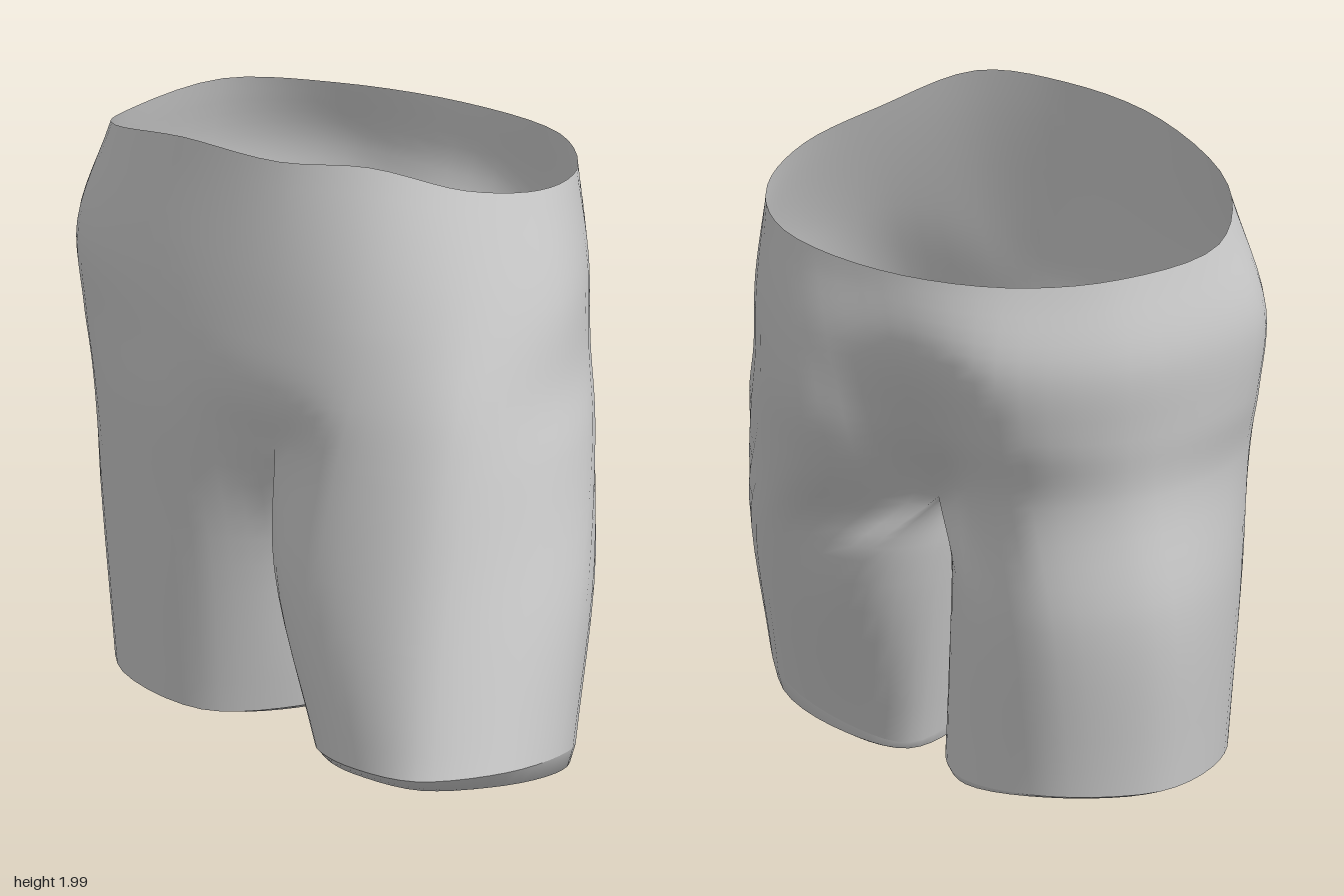
import * as THREE from 'three';
import { mergeVertices } from 'three/addons/utils/BufferGeometryUtils.js';

const S = 5; // samples between neighbouring control points
const R = 6; // rows between neighbouring rings
const V = (p) => new THREE.Vector3(...p);

// Smooth samples through control points, several per span
function sample(points, closed, steps = S) {
  const curve = new THREE.CatmullRomCurve3(points, closed);
  const n = (closed ? points.length : points.length - 1) * steps;
  return Array.from({ length: closed ? n : n + 1 }, (_, i) => curve.getPoint(i / n));
}
const ring = (list) => sample(list.map(V), true);

// Torso rings: front centre, round the +x side, back, -x side
const waist = ring([
  [-0.05, 1.985, 0.36], [0.22, 1.995, 0.32], [0.46, 1.9, 0.17], [0.61, 1.84, -0.04],
  [0.62, 1.8, -0.3], [0.46, 1.78, -0.56], [0.1, 1.76, -0.7], [-0.3, 1.76, -0.69],
  [-0.6, 1.78, -0.55], [-0.77, 1.79, -0.2], [-0.69, 1.87, 0.06], [-0.4, 1.96, 0.25]]);
const hip = ring([
  [-0.05, 1.52, 0.42], [0.26, 1.52, 0.43], [0.53, 1.52, 0.31], [0.7, 1.52, 0.02],
  [0.65, 1.52, -0.32], [0.4, 1.52, -0.65], [0.04, 1.52, -0.72], [-0.3, 1.52, -0.77],
  [-0.65, 1.52, -0.58], [-0.85, 1.52, -0.12], [-0.78, 1.52, 0.1], [-0.45, 1.52, 0.3]]);
const seat = ring([
  [-0.05, 1.25, 0.43], [0.22, 1.28, 0.475], [0.54, 1.28, 0.42], [0.72, 1.28, 0.1],
  [0.68, 1.28, -0.26], [0.36, 1.28, -0.67], [0.03, 1.22, -0.57], [-0.3, 1.28, -0.73],
  [-0.64, 1.28, -0.56], [-0.83, 1.28, -0.15], [-0.77, 1.28, 0.09], [-0.43, 1.28, 0.32]]);
const split = ring([
  [-0.06, 1.07, 0.37], [0.18, 1.07, 0.5], [0.53, 1.08, 0.5], [0.75, 1.08, 0.19],
  [0.74, 1.08, -0.15], [0.38, 1.05, -0.58], [0.06, 0.92, -0.34], [-0.3, 1.05, -0.65],
  [-0.64, 1.08, -0.53], [-0.79, 1.08, -0.16], [-0.74, 1.08, 0.1], [-0.42, 1.08, 0.32]]);
const torso = [waist, hip, seat, split];

// Crotch seam, from front to back between the legs
const crotch = sample([[-0.06, 1.07, 0.37], [-0.03, 0.99, 0.19], [0.02, 0.93, 0.02],
  [0.05, 0.89, -0.16], [0.06, 0.92, -0.34]].map(V), false);

// Leg rings: seven outer points, then three inner ones (middle, hem fold, hem opening)
const leftLeg = [
  [[-0.05, 0.7, 0.4], [0.16, 0.7, 0.57], [0.52, 0.7, 0.63], [0.755, 0.7, 0.42], [0.83, 0.7, 0.12],
    [0.63, 0.7, -0.28], [0.28, 0.7, -0.39], [0.12, 0.69, -0.24], [0.05, 0.7, 0], [-0.04, 0.7, 0.2]],
  [[0.13, 0.21, 0.52], [0.3, 0.25, 0.7], [0.55, 0.27, 0.77], [0.77, 0.27, 0.61], [0.845, 0.23, 0.32],
    [0.72, 0.14, 0.02], [0.45, 0.07, -0.12], [0.25, 0.03, -0.1], [0.16, 0.07, 0.1], [0.13, 0.14, 0.32]],
  [[0.23, 0.15, 0.35], [0.33, 0.19, 0.44], [0.5, 0.2, 0.46], [0.66, 0.19, 0.38], [0.72, 0.14, 0.22],
    [0.64, 0.07, 0.02], [0.45, 0.03, -0.1], [0.28, 0.005, -0.09], [0.2, 0.02, 0.04], [0.2, 0.07, 0.2]]];
const rightLeg = [
  [[-0.06, 0.69, -0.48], [-0.38, 0.68, -0.68], [-0.71, 0.7, -0.53], [-0.795, 0.7, -0.16], [-0.69, 0.7, 0.12],
    [-0.36, 0.7, 0.28], [-0.1, 0.7, 0.2], [-0.03, 0.7, 0.07], [0.01, 0.7, -0.08], [0.03, 0.69, -0.28]],
  [[-0.1, 0.13, -0.54], [-0.42, 0.16, -0.64], [-0.7, 0.16, -0.48], [-0.755, 0.15, -0.16], [-0.65, 0.14, 0.1],
    [-0.36, 0.11, 0.2], [-0.1, 0.12, 0.09], [0, 0.13, -0.02], [0.045, 0.13, -0.17], [0.03, 0.13, -0.36]],
  [[-0.14, 0.11, -0.53], [-0.35, 0.15, -0.6], [-0.47, 0.14, -0.48], [-0.52, 0.12, -0.36], [-0.45, 0.09, -0.2],
    [-0.32, 0.08, -0.09], [-0.18, 0.09, -0.1], [-0.08, 0.1, -0.18], [-0.03, 0.11, -0.29], [-0.05, 0.11, -0.43]]];

// Adds the quads between neighbouring columns of points
function skin(columns, closed, out) {
  const n = columns.length;
  for (let i = 0; i < (closed ? n : n - 1); i++) {
    const a = columns[i], b = columns[(i + 1) % n];
    for (let j = 0; j < a.length - 1; j++) {
      for (const p of [a[j], a[j + 1], b[j], b[j], a[j + 1], b[j + 1]]) out.push(p.x, p.y, p.z);
    }
  }
}

function makeMesh(name, positions) {
  let geometry = new THREE.BufferGeometry();
  geometry.setAttribute('position', new THREE.Float32BufferAttribute(positions, 3));
  geometry = mergeVertices(geometry, 1e-5);
  geometry.computeVertexNormals();
  const material = new THREE.MeshStandardMaterial({ color: 0xcccccc, side: THREE.DoubleSide });
  const mesh = new THREE.Mesh(geometry, material);
  mesh.name = name;
  return mesh;
}

// Hem column: a short rounded edge, then a flap turned inward under the leg
function hemColumn(fold, opening) {
  const edge = fold.clone().lerp(opening, 0.2);
  edge.y = THREE.MathUtils.lerp(fold.y, opening.y, 0.8);
  return [fold, edge, edge.clone().lerp(opening, 0.5), opening];
}

export function createModel() {
  const group = new THREE.Group();
  group.name = 'shorts';
  const cloth = [];
  const halves = [
    { name: 'leftHem', rings: leftLeg, start: 0, inner: [...crotch].reverse() },
    { name: 'rightHem', rings: rightLeg, start: 6 * S, inner: crotch },
  ];
  for (const { name, rings, start, inner } of halves) {
    const [mid, fold, opening] = rings.map(ring);
    const upper = [], lower = [];
    // Outer columns run smoothly from waist to hem; the crotch ends are kept apart
    for (let k = 0; k <= 6 * S; k++) {
      const top = torso.map((r) => r[(start + k) % r.length]);
      if (k === 0 || k === 6 * S) {
        upper.push(sample(top, false, R));
        lower.push(sample([top[3], mid[k], fold[k]], false, R));
      } else {
        const column = sample([...top, mid[k], fold[k]], false, R);
        upper.push(column.slice(0, 3 * R + 1));
        lower.push(column.slice(3 * R));
      }
    }
    // Inner thigh columns hang from the crotch seam
    for (let k = 1; k < 4 * S; k++) {
      const i = 6 * S + k;
      lower.push(sample([inner[k], mid[i], fold[i]], false, R));
    }
    skin(upper, false, cloth);
    skin(lower, true, cloth);

    const hem = [];
    skin(fold.map((p, i) => hemColumn(p, opening[i])), true, hem);
    group.add(makeMesh(name, hem));
  }
  group.add(makeMesh('body', cloth));
  return group;
}
